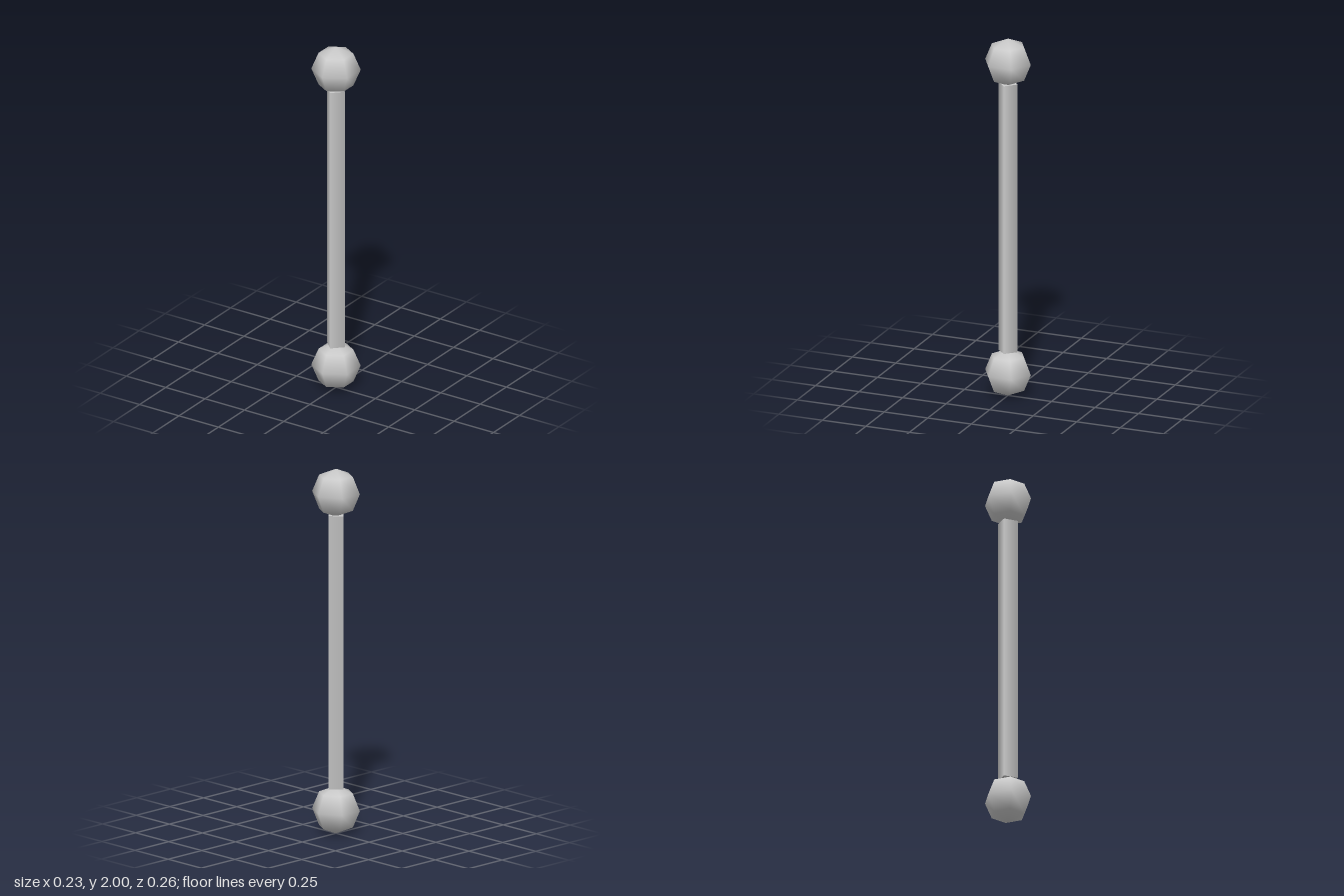
import * as THREE from 'three';

const BALL_RADIUS = 0.131;
const ROD_RADIUS = 0.056;

export function createModel() {
  const group = new THREE.Group();
  const material = new THREE.MeshStandardMaterial({ color: 0xcccccc });

  // Square rod with its corners on the axes and smooth shading
  const rod = new THREE.Mesh(new THREE.CylinderGeometry(ROD_RADIUS, ROD_RADIUS, 1.5, 4), material);
  rod.name = 'rod';
  rod.position.y = 1;
  group.add(rod);

  // Six-sided ball at each end, with corners facing front and back
  const ballGeometry = new THREE.SphereGeometry(BALL_RADIUS, 6, 4);
  ballGeometry.rotateY(Math.PI / 2);
  for (const [name, y] of [['bottomBall', BALL_RADIUS], ['topBall', 2 - BALL_RADIUS]]) {
    const ball = new THREE.Mesh(ballGeometry, material);
    ball.name = name;
    ball.position.y = y;
    group.add(ball);
  }

  return group;
}
